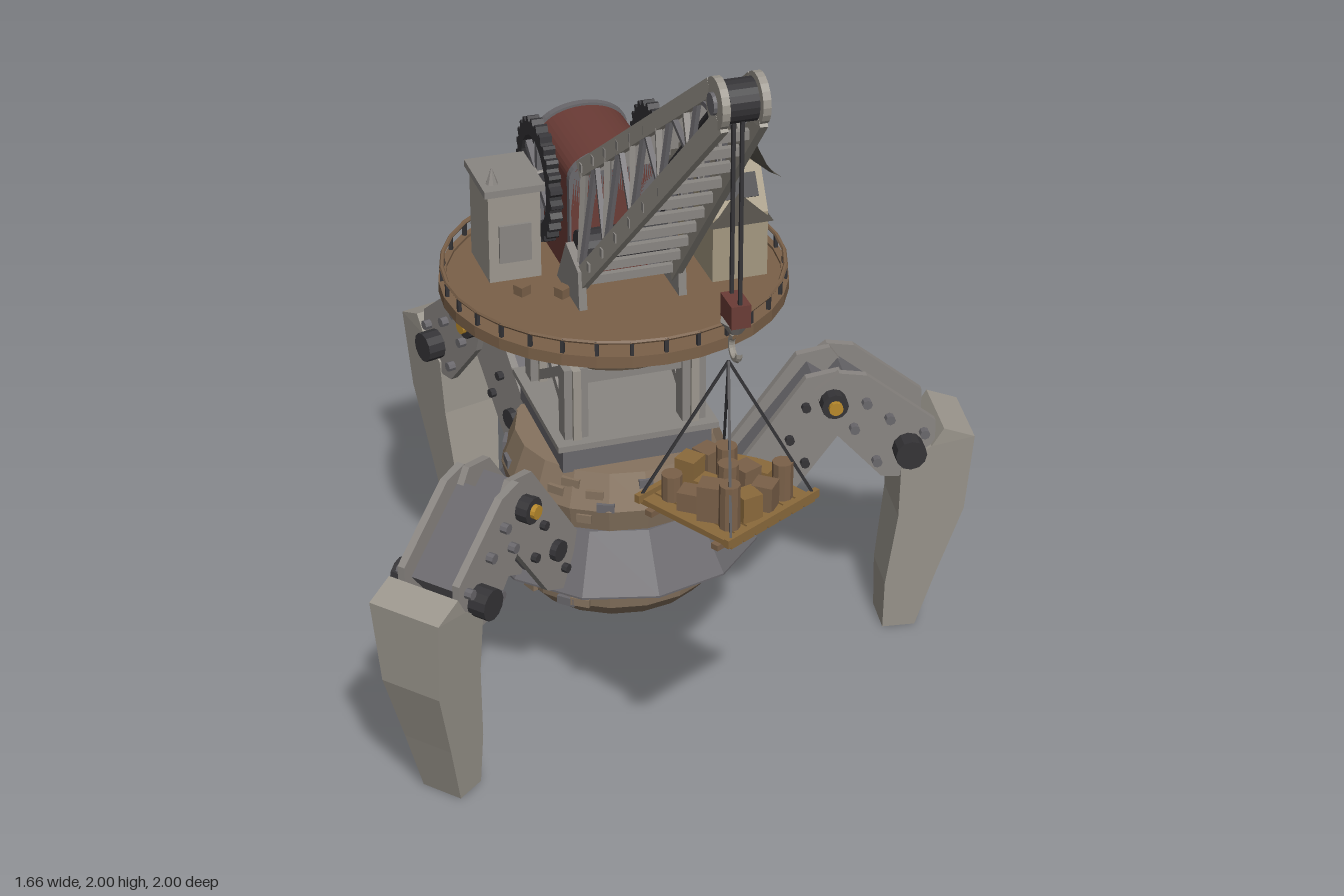
import * as THREE from 'three';

const mat = (color, side = THREE.FrontSide) => new THREE.MeshStandardMaterial({ color, side, flatShading: true, roughness: 0.9 });
const M = {
  steel: mat(0x8a8682), lightSteel: mat(0x9c978e), slate: mat(0x6a686c), dark: mat(0x353437), stone: mat(0x86735f),
  wood: mat(0x7b6149), plank: mat(0x8b6a3c), red: mat(0x6b3c36), cream: mat(0xa39880), brass: mat(0xb98a2c),
  roof: mat(0x5c5850, THREE.DoubleSide),
};
const V = (x, y, z) => new THREE.Vector3(x, y, z);
let seed = 7;
const rnd = () => (seed = (seed * 16807) % 2147483647) / 2147483647;

function add(parent, name, geo, material, x = 0, y = 0, z = 0) {
  const m = new THREE.Mesh(geo, material);
  m.name = name;
  m.position.set(x, y, z);
  parent.add(m);
  return m;
}
const box = (p, name, material, w, h, d, x, y, z) => add(p, name, new THREE.BoxGeometry(w, h, d), material, x, y, z);
// Cylinder lying along x, y or z
function rod(p, name, material, r, len, axis, x, y, z, sides = 12) {
  const g = new THREE.CylinderGeometry(r, r, len, sides);
  if (axis === 'x') g.rotateZ(Math.PI / 2);
  if (axis === 'z') g.rotateX(Math.PI / 2);
  return add(p, name, g, material, x, y, z);
}
// Square bar between two points
function beam(p, name, material, a, b, w, d = w) {
  const m = box(p, name, material, w, d, a.distanceTo(b), 0, 0, 0);
  m.position.copy(a).add(b).multiplyScalar(0.5);
  m.quaternion.setFromRotationMatrix(new THREE.Matrix4().lookAt(a, b, V(0, 1, 0)));
  return m;
}
const shapeOf = pts => new THREE.Shape(pts.map(([x, y]) => new THREE.Vector2(x, y)));
const slab = (shape, depth) => new THREE.ExtrudeGeometry(shape, { depth, bevelEnabled: false, curveSegments: 10 }).translate(0, 0, -depth / 2);
const lathe = (pts, sides) => new THREE.LatheGeometry(pts.map(([x, y]) => new THREE.Vector2(x, y)), sides);

// Toothed ring in the xy plane
function gearGeometry(R, inner, depth, teeth) {
  const pts = [];
  for (let i = 0; i < teeth * 4; i++) {
    const a = (i / (teeth * 4)) * Math.PI * 2, r = i % 4 < 2 ? R : R * 0.92;
    pts.push([Math.cos(a) * r, Math.sin(a) * r]);
  }
  const s = shapeOf(pts);
  s.holes.push(new THREE.Path().absarc(0, 0, inner, 0, Math.PI * 2, true));
  return slab(s, depth);
}

function buildHull(p) {
  add(p, 'lowerHull', lathe([[0, 0.23], [0.23, 0.23], [0.265, 0.27], [0.28, 0.37], [0, 0.37]], 18), M.stone);
  add(p, 'skirt', lathe([[0.26, 0.355], [0.365, 0.355], [0.365, 0.36], [0.28, 0.5], [0.2, 0.5]], 12), M.slate);
  add(p, 'upperHull', lathe([[0.27, 0.49], [0.285, 0.56], [0.25, 0.65], [0, 0.65]], 18), M.stone);
  // Raised stones on both hull bands
  for (let i = 0; i < 44; i++) {
    const a = rnd() * 6.283, low = i % 2, y = low ? 0.27 + rnd() * 0.07 : 0.53 + rnd() * 0.1;
    const r = low ? 0.268 : y > 0.56 ? 0.28 - (y - 0.56) * 0.38 : 0.277;
    box(p, 'stone', i % 3 ? M.stone : M.slate, 0.03 + rnd() * 0.02, 0.022, 0.014, Math.sin(a) * r, y, Math.cos(a) * r).rotation.y = a;
  }
}

function buildTower(p) {
  box(p, 'towerBase', M.slate, 0.38, 0.07, 0.38, 0, 0.68, 0);
  box(p, 'towerBaseFlange', M.steel, 0.41, 0.016, 0.41, 0, 0.72, 0);
  const h = 0.15;
  for (const sx of [-1, 1]) {
    for (const sz of [-1, 1]) {
      box(p, 'towerPost', M.steel, 0.06, 0.2, 0.05, sx * h, 0.82, sz * h);
      box(p, 'towerPostFlute', M.lightSteel, 0.02, 0.2, 0.07, sx * h, 0.82, sz * h);
    }
    beam(p, 'crossBrace', M.steel, V(sx * h, 0.73, -h), V(sx * h, 0.91, h), 0.02, 0.025);
    beam(p, 'crossBrace', M.steel, V(sx * h, 0.73, h), V(sx * h, 0.91, -h), 0.02, 0.025);
    box(p, 'towerBeam', M.steel, 0.3, 0.035, 0.03, 0, 0.89, sx * h);
  }
  add(p, 'bearing', lathe([[0, 0.91], [0.2, 0.91], [0.225, 0.95], [0.225, 0.975], [0, 0.975]], 24), M.stone);
  add(p, 'slewGear', gearGeometry(0.245, 0.1, 0.035, 36).rotateX(Math.PI / 2), M.dark, 0, 1.0, 0);
  rod(p, 'slewPivot', M.slate, 0.18, 0.08, 'y', 0, 1.01, 0, 24);
  add(p, 'deck', lathe([[0, 1.035], [0.405, 1.035], [0.427, 1.045], [0.427, 1.075], [0.41, 1.075], [0.41, 1.068], [0, 1.068]], 32), M.wood);
  for (let i = 0; i < 32; i++) {
    const a = (i / 32) * Math.PI * 2;
    box(p, 'railPost', M.dark, 0.009, 0.045, 0.009, Math.sin(a) * 0.418, 1.09, Math.cos(a) * 0.418).rotation.y = a;
  }
  add(p, 'rail', new THREE.TorusGeometry(0.418, 0.006, 6, 32).rotateX(Math.PI / 2), M.wood, 0, 1.11, 0);
}

// A leg lies along +x and is turned to its angle
function buildLeg(p, degrees) {
  const leg = new THREE.Group();
  leg.name = 'leg';
  leg.rotation.y = -THREE.MathUtils.degToRad(degrees);
  p.add(leg);
  const thigh = shapeOf([[0.28, 0.505], [0.47, 0.77], [0.555, 0.785], [0.6, 0.72], [0.57, 0.62], [0.41, 0.4], [0.32, 0.36]].reverse());
  const shin = shapeOf([[0.49, 0.74], [0.55, 0.787], [0.62, 0.775], [0.8, 0.63], [0.8, 0.54], [0.71, 0.475], [0.665, 0.48], [0.53, 0.63]].reverse());
  for (const s of [-1, 1]) {
    add(leg, 'thighPlate', slab(thigh, 0.02), M.steel, 0, 0, s * 0.06);
    add(leg, 'shinPlate', slab(shin, 0.02), M.steel, 0, 0, s * 0.078);
    rod(leg, 'kneeHub', M.dark, 0.034, 0.05, 'z', 0.535, 0.71, s * 0.095);
    rod(leg, 'kneeCap', M.brass, 0.018, 0.02, 'z', 0.535, 0.71, s * 0.122);
    rod(leg, 'ankleHub', M.dark, 0.04, 0.06, 'z', 0.73, 0.56, s * 0.105);
    rod(leg, 'hipHub', M.dark, 0.027, 0.025, 'z', 0.375, 0.5, s * 0.075);
    for (const [x, y] of [[0.43, 0.6], [0.47, 0.53], [0.34, 0.43], [0.47, 0.69]]) rod(leg, 'bolt', M.dark, 0.012, 0.02, 'z', x, y, s * 0.075, 8);
    for (const [x, y] of [[0.59, 0.63], [0.62, 0.7], [0.68, 0.65], [0.65, 0.53], [0.77, 0.6]]) rod(leg, 'bolt', M.slate, 0.013, 0.03, 'z', x, y, s * 0.092, 8);
  }
  const thighCore = beam(leg, 'thighCore', M.slate, V(0.3, 0.41, 0), V(0.535, 0.72, 0), 0.1, 0.1);
  thighCore.position.z = 0;
  beam(leg, 'shinCore', M.slate, V(0.54, 0.71, 0), V(0.74, 0.55, 0), 0.136, 0.11);
  // Foot narrows towards the ground
  const foot = slab(shapeOf([[0.69, 0], [0.775, 0], [0.825, 0.17], [0.885, 0.36], [0.9, 0.58], [0.82, 0.61], [0.79, 0.56], [0.715, 0.51], [0.715, 0.35], [0.69, 0.14]]), 1);
  const q = foot.attributes.position;
  for (let i = 0; i < q.count; i++) q.setZ(i, q.getZ(i) * (0.11 + 0.15 * Math.min(q.getY(i), 0.58)));
  foot.computeVertexNormals();
  add(leg, 'foot', foot, M.lightSteel);
}

function buildBoom(p) {
  // Chord point: side -1/1, upper or lower, t along the boom
  const P = (s, top, t) => {
    const L = THREE.MathUtils.lerp;
    return top ? V(s * L(0.1, 0.045, t), L(1.42, 1.965, t), L(0.1, 0.87, t)) : V(s * L(0.12, 0.045, t), L(1.13, 1.91, t), L(0.12, 0.93, t));
  };
  const n = 10;
  for (const s of [-1, 1]) {
    beam(p, 'upperChord', M.lightSteel, P(s, 1, -0.03), P(s, 1, 1), 0.018, 0.04);
    beam(p, 'lowerChord', M.lightSteel, P(s, 0, -0.03), P(s, 0, 1), 0.018, 0.05);
    for (let i = 0; i < n; i++) {
      beam(p, 'lacing', M.slate, P(s, i % 2, i / n), P(s, 1 - (i % 2), (i + 1) / n), 0.012);
      if (i % 2 === 0) beam(p, 'boomStrut', M.steel, P(s, 0, i / n), P(s, 1, i / n), 0.014);
    }
    rod(p, 'headPlate', M.lightSteel, 0.058, 0.018, 'x', s * 0.045, 1.942, 0.905, 20);
    rod(p, 'headPin', M.slate, 0.025, 0.012, 'x', s * 0.056, 1.942, 0.905);
    add(p, 'boomFoot', slab(shapeOf([[-0.03, 1.07], [0.16, 1.07], [0.15, 1.17], [0.05, 1.2]]), 0.02).rotateY(-Math.PI / 2), M.steel, s * 0.125, 0, 0);
  }
  for (let i = 0; i < n; i++) for (const top of [0, 1]) {
    beam(p, 'boomRung', M.steel, P(-1.12, top, i / n), P(1.12, top, i / n), 0.016, 0.022);
  }
  rod(p, 'headPulley', M.dark, 0.048, 0.065, 'x', 0, 1.942, 0.905, 20);
  rod(p, 'winchDrum', M.dark, 0.045, 0.22, 'x', 0, 1.19, 0.07, 16);
  beam(p, 'boomRope', M.dark, V(0, 1.23, 0.07), V(0, 1.97, 0.87), 0.008);
}

function buildLoad(p) {
  const z0 = 0.905;
  for (const dz of [-0.028, 0.028]) beam(p, 'hoistRope', M.dark, V(0, 1.93, z0 + dz), V(0, 1.45, z0 + dz), 0.008);
  box(p, 'hookBlock', M.red, 0.045, 0.055, 0.075, 0, 1.44, z0);
  add(p, 'hookBlockTip', new THREE.CylinderGeometry(0.035, 0.015, 0.03, 8), M.steel, 0, 1.4, z0);
  add(p, 'hook', new THREE.TorusGeometry(0.026, 0.008, 6, 14, Math.PI * 1.5).rotateZ(-Math.PI).rotateY(Math.PI / 2), M.lightSteel, 0, 1.345, z0);
  const load = new THREE.Group();
  load.name = 'load';
  load.position.set(-0.015, 0.955, z0);
  load.rotation.y = 0.5;
  p.add(load);
  for (let i = 0; i < 7; i++) box(load, 'trayPlank', M.plank, 0.035, 0.014, 0.28, -0.12 + i * 0.04, 0.005, 0);
  for (const s of [-1, 1]) {
    box(load, 'trayBearer', M.wood, 0.3, 0.014, 0.02, 0, -0.008, s * 0.1);
    box(load, 'trayRim', M.plank, 0.3, 0.02, 0.014, 0, 0.015, s * 0.135);
    for (const t of [-1, 1]) beam(load, 'sling', M.dark, V(0, 0.36, 0), V(s * 0.137, 0.015, t * 0.137), 0.006);
  }
  for (let i = 0; i < 16; i++) {
    const h = 0.04 + rnd() * 0.055;
    const x = ((i % 4) - 1.5) * 0.058, z = (Math.floor(i / 4) - 1.5) * 0.058;
    if (i % 3) box(load, 'crate', i % 2 ? M.plank : M.wood, 0.05, h, 0.05, x, 0.012 + h / 2, z).rotation.y = rnd() - 0.5;
    else rod(load, 'barrel', M.wood, 0.024, h + 0.02, 'y', x, 0.022 + h / 2, z, 10);
  }
}

function buildMachinery(p) {
  // Arched engine house
  const arch = new THREE.Shape().moveTo(-0.11, 1.068).lineTo(0.11, 1.068).lineTo(0.11, 1.34);
  arch.absellipse(0, 1.34, 0.11, 0.065, 0, Math.PI, false);
  add(p, 'engineHouse', slab(arch, 0.29), M.red, 0, 0, -0.13);
  for (const z of [-0.265, 0.005]) add(p, 'engineBand', slab(arch, 0.02).translate(0, -1.2, 0).scale(1.04, 1.03, 1).translate(0, 1.2, 0), M.slate, 0, 0, z);
  rod(p, 'firebox', M.dark, 0.045, 0.03, 'z', 0, 1.26, -0.285, 14);
  box(p, 'fireboxDoor', M.slate, 0.1, 0.06, 0.02, 0, 1.14, -0.28);
  // Winding gears on both sides
  for (const x of [-0.143, 0.15]) {
    add(p, 'windingGear', gearGeometry(0.155, 0.11, 0.03, 26).rotateY(Math.PI / 2), M.dark, x, 1.28, -0.145);
    for (let i = 0; i < 3; i++) box(p, 'gearSpoke', M.slate, 0.016, 0.23, 0.02, x, 1.28, -0.145).rotation.x = (i * Math.PI) / 3;
    rod(p, 'gearAxle', M.steel, 0.03, 0.06, 'x', x, 1.28, -0.145);
  }
  // Supply cabinet
  box(p, 'cabinet', M.lightSteel, 0.13, 0.24, 0.17, -0.235, 1.185, -0.13);
  box(p, 'cabinetLid', M.steel, 0.15, 0.018, 0.19, -0.235, 1.31, -0.13);
  box(p, 'cabinetDoor', M.steel, 0.08, 0.1, 0.012, -0.235, 1.17, -0.043);
  add(p, 'cabinetFinial', new THREE.ConeGeometry(0.016, 0.045, 8), M.steel, -0.28, 1.34, -0.08);
  for (const [x, z] of [[-0.24, 0.03], [-0.15, 0.07]]) box(p, 'deckBlock', M.wood, 0.03, 0.025, 0.03, x, 1.08, z).rotation.y = 0.5;
}

function buildCabin(p) {
  const X = 0.285;
  add(p, 'cabin', slab(shapeOf([[-0.185, 1.068], [0.115, 1.068], [0.115, 1.24], [0.05, 1.35], [-0.14, 1.35]]), 0.14).rotateY(-Math.PI / 2), M.cream, X, 0, 0);
  add(p, 'cabinGable', slab(shapeOf([[-0.08, 1.22], [0.08, 1.22], [0, 1.29]]), 0.04), M.roof, X, 0, 0.11);
  box(p, 'cabinWindow', M.dark, 0.1, 0.06, 0.02, X, 1.3, 0.08).rotation.x = -0.55;
  for (const s of [-1, 1]) {
    add(p, 'porthole', new THREE.TorusGeometry(0.025, 0.007, 6, 14).rotateY(Math.PI / 2), M.slate, X + s * 0.071, 1.16, -0.02);
    rod(p, 'portholeGlass', M.dark, 0.022, 0.006, 'x', X + s * 0.071, 1.16, -0.02);
  }
  // Swept roof: concave slopes, upturned ends
  const g = new THREE.PlaneGeometry(2, 2, 8, 12).rotateX(-Math.PI / 2);
  const q = g.attributes.position;
  for (let i = 0; i < q.count; i++) {
    const v = q.getX(i), u = q.getZ(i), rise = 1 - Math.abs(v);
    const y = 1.33 + 0.07 * rise ** 1.5 + 0.025 * u * u + (u > 0 ? 0.075 : 0.02) * u ** 4 * rise ** 2;
    q.setXYZ(i, v * 0.085, y, u * 0.18 + u * u * u * rise * 0.012);
  }
  g.computeVertexNormals();
  add(p, 'cabinRoof', g, M.roof, X, 0, -0.01);
}

export function createModel() {
  const root = new THREE.Group();
  root.name = 'walkingCrane';
  const body = new THREE.Group();
  body.name = 'body';
  body.position.set(-0.085, 0, -0.115);
  root.add(body);
  buildHull(body);
  buildTower(body);
  for (const a of [8.5, 140, -105.5]) buildLeg(body, a);
  buildBoom(body);
  buildLoad(body);
  buildMachinery(body);
  buildCabin(body);
  return root;
}
